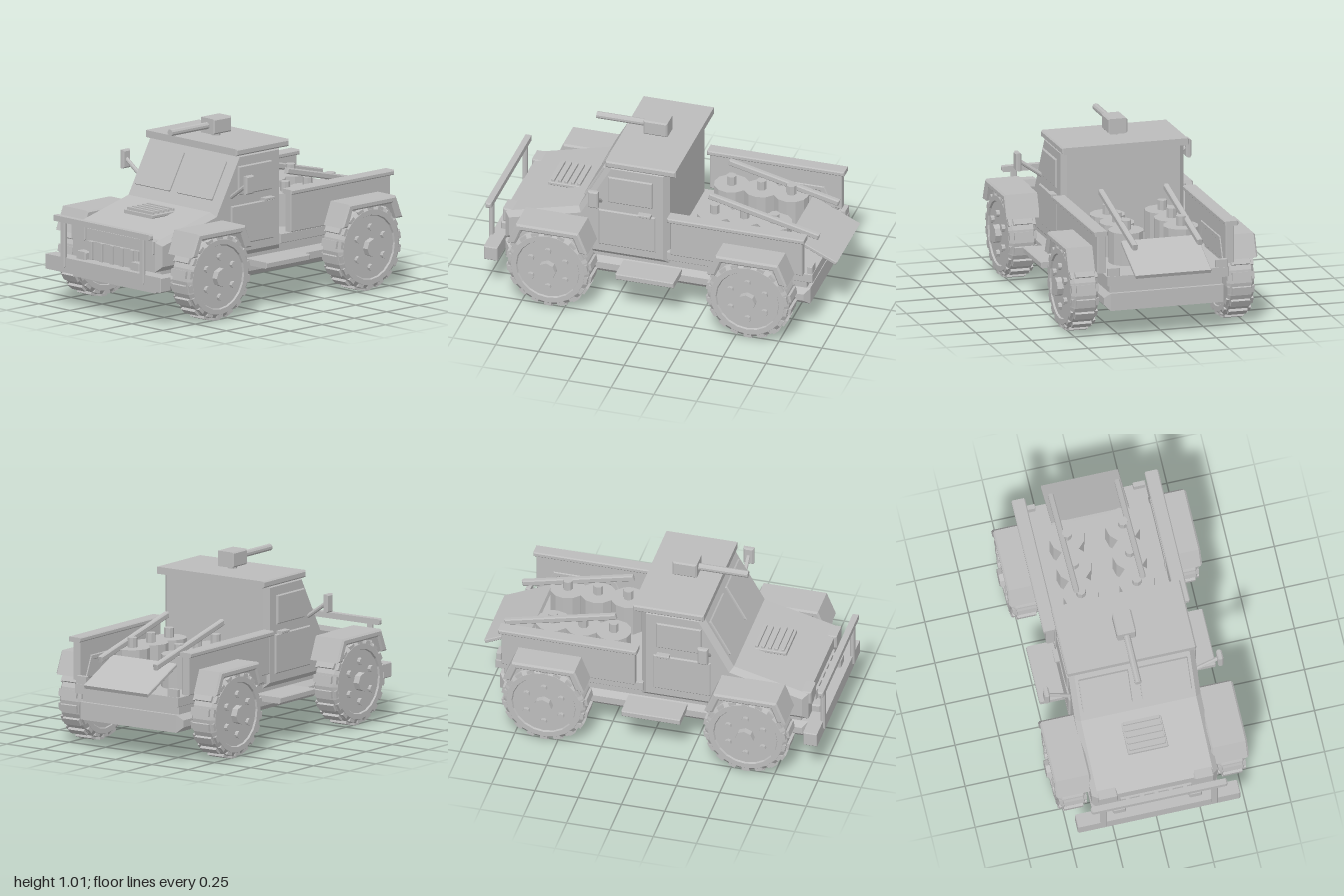
import * as THREE from 'three';

const grey = new THREE.MeshStandardMaterial({ color: 0xbcbcbc, flatShading: true });
grey.name = 'body grey';

function add(parent, name, geo, x = 0, y = 0, z = 0) {
  const m = new THREE.Mesh(geo, grey);
  m.name = name;
  m.position.set(x, y, z);
  parent.add(m);
  return m;
}

// Prism whose side outline is [z, y] points, spanning x0..x1, with chamfered edges
function sideExtrude(points, x0, x1, bevel) {
  const shape = new THREE.Shape(points.map(([z, y]) => new THREE.Vector2(-z, y)));
  const geo = new THREE.ExtrudeGeometry(shape, {
    depth: x1 - x0 - 2 * bevel, bevelEnabled: bevel > 0, bevelThickness: bevel,
    bevelSize: bevel, bevelOffset: -bevel, bevelSegments: 1,
  });
  geo.translate(0, 0, x0 + bevel);
  return geo.rotateY(Math.PI / 2);
}

// Chamfered box centred on the origin
function box(w, h, d, b = 0.006) {
  return sideExtrude([[d / 2, -h / 2], [d / 2, h / 2], [-d / 2, h / 2], [-d / 2, -h / 2]], -w / 2, w / 2, b);
}

// Chamfered box given by its limits
function block(parent, name, x0, x1, y0, y1, z0, z1, b) {
  return add(parent, name, box(x1 - x0, y1 - y0, z1 - z0, b), (x0 + x1) / 2, (y0 + y1) / 2, (z0 + z1) / 2);
}

// Cylinder along x
function axle(r, w, n) {
  return new THREE.CylinderGeometry(r, r, w, n).rotateZ(Math.PI / 2);
}

function makeWheel(side) {
  const g = new THREE.Group();
  g.name = 'wheel';
  const profile = [[0, -0.075], [0.18, -0.075], [0.185, -0.08], [0.215, -0.08], [0.238, -0.06],
    [0.238, 0.06], [0.215, 0.08], [0.185, 0.08], [0.18, 0.07], [0, 0.07]];
  const tyre = new THREE.LatheGeometry(profile.map(p => new THREE.Vector2(...p)), 20);
  add(g, 'tyre', tyre.rotateZ(-side * Math.PI / 2));
  // Tread lugs, with a wider shoulder under each
  const n = 18;
  for (let i = 0; i < n; i++) {
    const a = (i / n) * Math.PI * 2;
    add(g, 'treadLug', new THREE.BoxGeometry(0.11, 0.03, 0.042).translate(0, -0.235, 0).rotateX(a));
    add(g, 'shoulderLug', new THREE.BoxGeometry(0.158, 0.04, 0.042).translate(0, -0.213, 0).rotateX(a));
  }
  add(g, 'hub', axle(0.053, 0.05, 8), side * 0.082);
  for (let i = 0; i < 6; i++) {
    const a = (i / 6) * Math.PI * 2;
    add(g, 'wheelBolt', axle(0.02, 0.03, 8), side * 0.075, 0.115 * Math.cos(a), 0.115 * Math.sin(a));
  }
  return g;
}

export function createModel() {
  const root = new THREE.Group();
  root.name = 'pickupTruck';

  // Chassis, cab with hood, roof, bed floor
  block(root, 'chassis', -0.36, 0.36, 0.17, 0.27, -0.88, 0.9, 0.03);
  block(root, 'chassisCore', -0.33, 0.33, 0.25, 0.34, -0.86, 0.86, 0.005);
  add(root, 'cab', sideExtrude([[-0.06, 0.29], [0.9, 0.29], [0.9, 0.46], [0.47, 0.57],
    [0.29, 0.89], [-0.06, 0.89]], -0.36, 0.36, 0.03));
  block(root, 'roof', -0.37, 0.37, 0.87, 0.91, -0.105, 0.305, 0.008);
  block(root, 'bedFloor', -0.355, 0.355, 0.32, 0.375, -0.9, -0.05, 0.003);

  // Windscreen panes lie on the sloping front of the cab
  const slope = Math.atan2(0.18, 0.32);
  for (const s of [-1, 1]) {
    const pane = add(root, 'windscreenPane', box(0.285, 0.235, 0.02, 0.005), s * 0.17, 0.733, 0.382);
    pane.rotation.x = -slope;
  }

  // Hood vent
  block(root, 'ventBase', -0.115, 0.115, 0.535, 0.555, 0.52, 0.715, 0.004);
  for (let i = 0; i < 5; i++) {
    block(root, 'ventSlat', -0.105, 0.105, 0.55, 0.57, 0.53 + i * 0.038, 0.548 + i * 0.038, 0.003);
  }

  // Grille, bumper and push bar
  block(root, 'grille', -0.205, 0.205, 0.29, 0.395, 0.88, 0.912, 0.003);
  for (let i = -2; i <= 2; i++) {
    block(root, 'grilleSlat', i * 0.082 - 0.012, i * 0.082 + 0.012, 0.29, 0.395, 0.9, 0.925, 0.002);
  }
  block(root, 'bumper', -0.465, 0.465, 0.205, 0.29, 0.905, 0.985, 0.005);
  block(root, 'pushBar', -0.39, 0.39, 0.492, 0.525, 0.965, 1, 0.008);

  // Roof gun
  block(root, 'gunBody', -0.055, 0.055, 0.927, 1.015, 0.04, 0.18, 0.008);
  add(root, 'gunMount', new THREE.CylinderGeometry(0.025, 0.025, 0.04, 8), 0, 0.92, 0.11);
  add(root, 'gunBarrel', new THREE.CylinderGeometry(0.02, 0.02, 0.3, 10).rotateX(Math.PI / 2), 0, 0.972, 0.315);

  // Lowered tailgate
  const gate = add(root, 'tailgate', box(0.444, 0.022, 0.305, 0.004), 0, 0.452, -0.86);
  gate.rotation.x = -Math.atan2(0.13, 0.275);

  for (const s of [-1, 1]) {
    // Mirrored block placed by its limits on the +x side
    const pair = (name, x0, x1, ...rest) =>
      block(root, name, s > 0 ? x0 : -x1, s > 0 ? x1 : -x0, ...rest);

    pair('pushBarPost', 0.3, 0.335, 0.235, 0.5, 0.97, 0.995, 0.006);
    pair('headlight', 0.22, 0.33, 0.39, 0.47, 0.86, 0.915, 0.006);
    pair('fogLight', 0.18, 0.255, 0.28, 0.335, 0.89, 0.95, 0.008);
    pair('taillight', 0.28, 0.35, 0.37, 0.42, -0.897, -0.87, 0.003);

    // Doors
    pair('sideWindow', 0.35, 0.37, 0.645, 0.81, 0.03, 0.29, 0.006);
    pair('door', 0.35, 0.37, 0.365, 0.59, 0.013, 0.345, 0.006);
    pair('doorHandle', 0.355, 0.395, 0.592, 0.608, 0.035, 0.11, 0.003);
    pair('mirror', 0.48, 0.512, 0.68, 0.785, 0.305, 0.365, 0.008);
    const arm = new THREE.LineCurve3(new THREE.Vector3(s * 0.355, 0.64, 0.335), new THREE.Vector3(s * 0.49, 0.735, 0.335));
    add(root, 'mirrorArm', new THREE.TubeGeometry(arm, 1, 0.012, 8));

    // Steps and bed sides
    pair('step', 0.34, 0.505, 0.235, 0.27, -0.135, 0.205, 0.005);
    pair('bedSide', 0.35, 0.4, 0.385, 0.61, -0.855, -0.085, 0.005);
    pair('bedRail', 0.342, 0.42, 0.602, 0.63, -0.87, -0.07, 0.006);

    // Wheels under angular fenders
    for (const z of [0.59, -0.575]) {
      const wheel = makeWheel(s);
      wheel.position.set(s * 0.455, 0.25, z);
      root.add(wheel);
      const arch = [[0.235, 0.39], [0.182, 0.52], [-0.182, 0.52], [-0.235, 0.39],
        [-0.185, 0.39], [-0.15, 0.48], [0.15, 0.48], [0.185, 0.39]];
      const pts = arch.map(([dz, y]) => [z + dz, y]);
      add(root, 'fender', s > 0 ? sideExtrude(pts, 0.345, 0.552, 0.01) : sideExtrude(pts, -0.552, -0.345, 0.01));
    }

    // Drums in the bed with a sloping beam on top
    for (const z of [-0.62, -0.445, -0.27]) {
      add(root, 'drum', new THREE.CylinderGeometry(0.1, 0.1, 0.19, 12), s * 0.16, 0.465, z);
      add(root, 'drumCap', new THREE.CylinderGeometry(0.028, 0.028, 0.06, 8), s * 0.16, 0.585, z);
    }
    const beam = add(root, 'beam', box(0.032, 0.035, 0.66, 0.006), s * 0.19, 0.605, -0.568);
    beam.rotation.x = -Math.atan2(0.155, 0.64);
  }
  return root;
}
